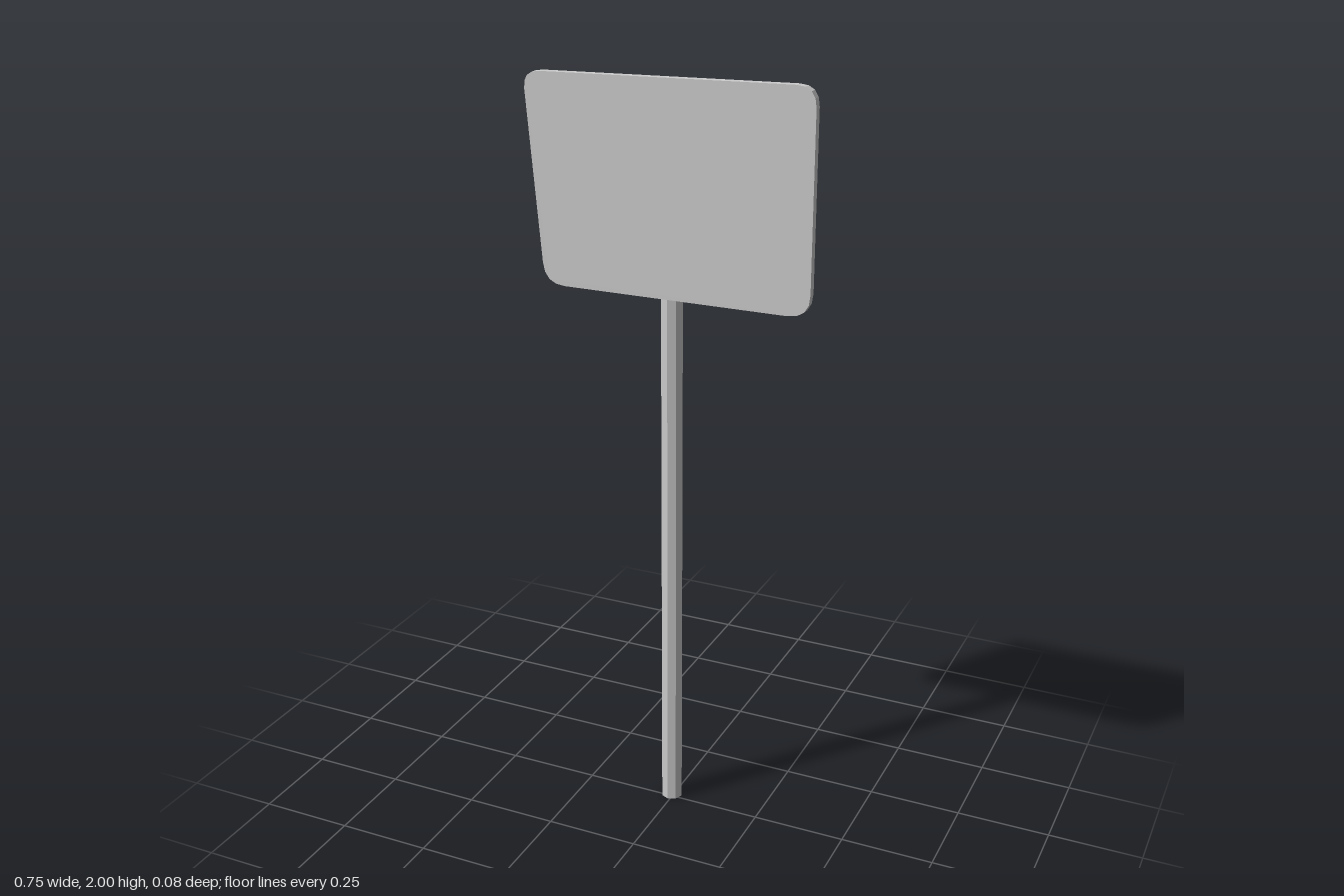
import * as THREE from 'three';

const material = new THREE.MeshStandardMaterial({
  color: 0xcccccc, flatShading: true, side: THREE.DoubleSide,
});

// Closed outline through the given corners, each rounded off by its own amount.
function roundedOutline(corners) {
  const shape = new THREE.Shape();
  const n = corners.length;
  corners.forEach(([x, y, cut], i) => {
    const corner = new THREE.Vector2(x, y);
    const toward = ([px, py]) =>
      new THREE.Vector2(px, py).sub(corner).setLength(cut).add(corner);
    const start = toward(corners[(i + n - 1) % n]);
    const end = toward(corners[(i + 1) % n]);
    if (i === 0) shape.moveTo(start.x, start.y);
    else shape.lineTo(start.x, start.y);
    shape.quadraticCurveTo(x, y, end.x, end.y);
  });
  shape.closePath();
  return shape;
}

export function createModel() {
  const model = new THREE.Group();
  model.name = 'signpost';

  // Eight-sided pole, hollow at the foot
  const poleHeight = 1.73, poleRadius = 0.029;
  const pole = new THREE.Group();
  pole.name = 'pole';
  pole.position.set(-0.006, 0, -0.012);
  const shaft = new THREE.Mesh(
    new THREE.CylinderGeometry(poleRadius, poleRadius, poleHeight, 8, 1, true), material);
  shaft.name = 'poleShaft';
  shaft.position.y = poleHeight / 2;
  const cap = new THREE.Mesh(
    new THREE.CircleGeometry(poleRadius, 8).rotateX(-Math.PI / 2), material);
  cap.name = 'poleCap';
  cap.position.y = poleHeight;
  pole.add(shaft, cap);
  model.add(pole);

  // Slightly skewed sign board with rounded corners, fixed to the pole's front
  const outline = roundedOutline([
    [-0.334, 1.455, 0.055],
    [0.375, 1.455, 0.058],
    [0.375, 2.002, 0.05],
    [-0.38, 1.984, 0.045],
  ]);
  const board = new THREE.Mesh(
    new THREE.ExtrudeGeometry(outline, { depth: 0.021, bevelEnabled: false, curveSegments: 4 }),
    material);
  board.name = 'signBoard';
  board.position.z = 0.018;
  model.add(board);

  return model;
}
